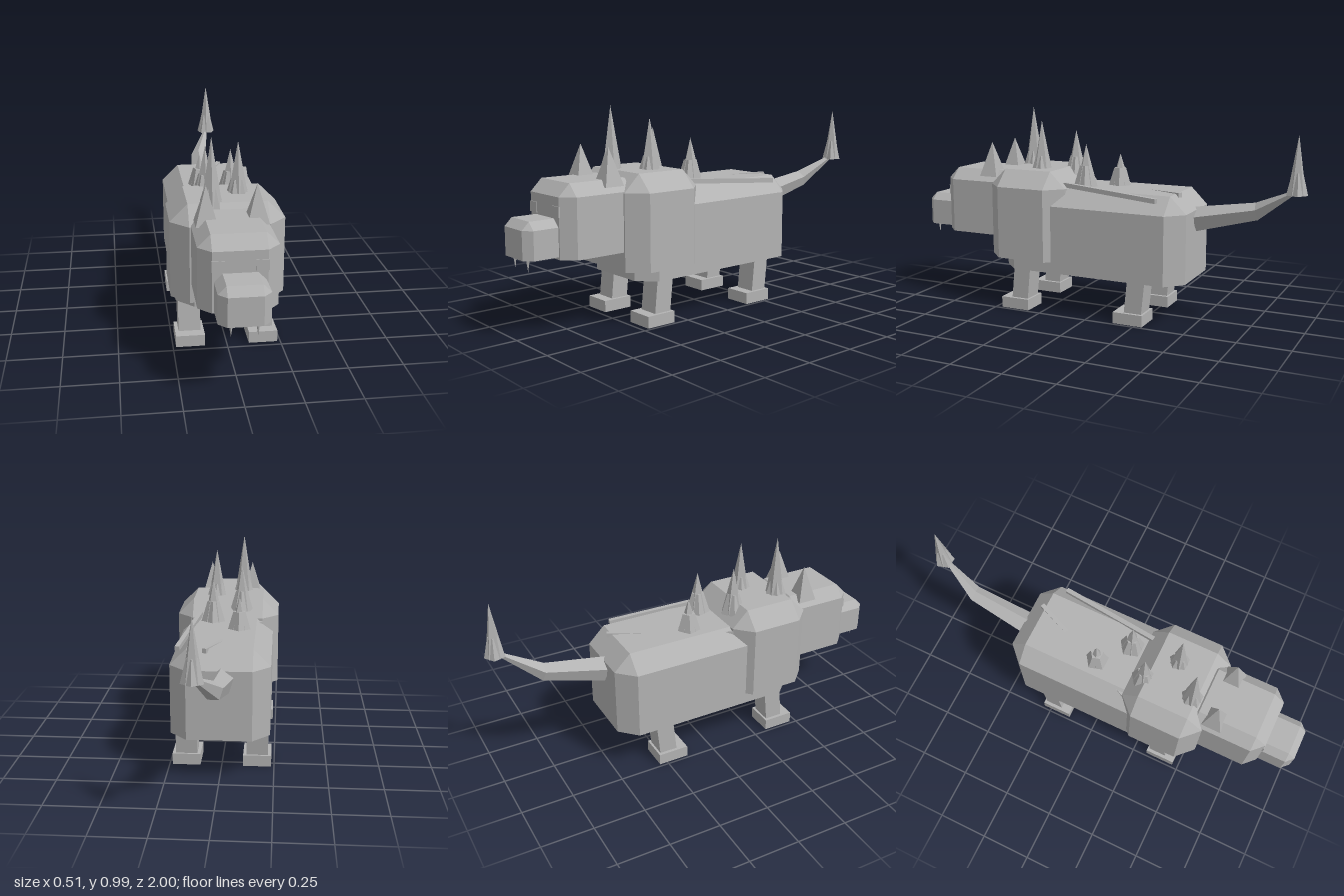
import * as THREE from 'three';

const stone = new THREE.MeshStandardMaterial({ color: 0xb2b2b2, flatShading: true, side: THREE.DoubleSide });
stone.name = 'stone grey';

function add(parent, name, geometry, x = 0, y = 0, z = 0) {
  const mesh = new THREE.Mesh(geometry, stone);
  mesh.name = name;
  mesh.position.set(x, y, z);
  parent.add(mesh);
  return mesh;
}

// Builds a flat-shaded geometry from points and faces of three or four corners
function faceted(points, faces) {
  const index = [];
  for (const [a, b, c, d] of faces) {
    index.push(a, b, c);
    if (d !== undefined) index.push(a, c, d);
  }
  const g = new THREE.BufferGeometry();
  g.setAttribute('position', new THREE.Float32BufferAttribute(points.flat(), 3));
  g.setIndex(index);
  const flat = g.toNonIndexed();
  flat.computeVertexNormals();
  return flat;
}

// Block with bevelled top and upright edges, open underneath
function bevelledBlock(w, y0, y1, z0, z1, b) {
  const ring = [
    [w - b, z1], [w, z1 - b], [w, z0 + b], [w - b, z0],
    [b - w, z0], [-w, z0 + b], [-w, z1 - b], [b - w, z1],
  ];
  const lid = [[w - b, z1 - b], [w - b, z0 + b], [b - w, z0 + b], [b - w, z1 - b]];
  const points = [
    ...ring.map(([x, z]) => [x, y0, z]),
    ...ring.map(([x, z]) => [x, y1 - b, z]),
    ...lid.map(([x, z]) => [x, y1, z]),
  ];
  const faces = [[16, 17, 18, 19]];
  for (let i = 0; i < 8; i++) {
    const j = (i + 1) % 8;
    faces.push([i, j, 8 + j, 8 + i]);
  }
  for (let k = 0; k < 4; k++) {
    const n = (k + 1) % 4;
    faces.push([8 + 2 * k, 9 + 2 * k, 16 + k]);
    faces.push([9 + 2 * k, 8 + 2 * n, 16 + n, 16 + k]);
  }
  return faceted(points, faces);
}

// Plain box with no bottom face
function openBox(w, h, d) {
  const g = new THREE.BoxGeometry(w, h, d);
  const index = Array.from(g.index.array);
  index.splice(18, 6);
  g.setIndex(index);
  g.clearGroups();
  return g;
}

// Tapered tube through [x, y, z, radius] sections
function taperedTube(sections, sides) {
  const points = [], faces = [];
  sections.forEach(([x, y, z, r], s) => {
    for (let i = 0; i < sides; i++) {
      const a = Math.PI / 2 + (i / sides) * Math.PI * 2;
      points.push([x + Math.cos(a) * r, y + Math.sin(a) * r, z - (Math.sin(a) - 1) * -r * 0.25]);
      if (!s) continue;
      const p = (s - 1) * sides, q = s * sides, j = (i + 1) % sides;
      faces.push([p + i, q + i, q + j, p + j]);
    }
  });
  return faceted(points, faces.map((f) => f.reverse()));
}

// Five-sided spike rising from a flared skirt
function spike(parent, name, x, y, z, height, radius) {
  const group = new THREE.Group();
  group.name = name;
  group.position.set(x, y, z);
  add(group, 'spikePoint', new THREE.ConeGeometry(radius * 0.85, height, 5), 0, height / 2, 0);
  const skirt = new THREE.CylinderGeometry(radius * 0.5, radius, 0.1, 5);
  add(group, 'spikeSkirt', skirt, 0, 0.05, 0).rotation.y = 0.6;
  parent.add(group);
}

// Square bar between two points
function bar(parent, name, from, to, size) {
  const a = new THREE.Vector3(...from), b = new THREE.Vector3(...to);
  const mesh = add(parent, name, new THREE.BoxGeometry(size, size, a.distanceTo(b)));
  mesh.position.copy(a).add(b).multiplyScalar(0.5);
  mesh.lookAt(b);
}

export function createModel() {
  const model = new THREE.Group();
  model.name = 'spikedBeast';

  // Trunk, shoulders, head and muzzle
  add(model, 'body', bevelledBlock(0.23, 0.205, 0.615, -0.47, 0.48, 0.08));
  add(model, 'shoulders', bevelledBlock(0.257, 0.26, 0.695, 0.14, 0.55, 0.08));
  add(model, 'head', bevelledBlock(0.17, 0.35, 0.675, 0.45, 0.845, 0.055));
  add(model, 'muzzle', bevelledBlock(0.108, 0.362, 0.525, 0.76, 1.0, 0.035));

  for (const s of [-1, 1]) {
    const side = s > 0 ? 'left' : 'right';
    // Face details
    add(model, side + 'Eye', new THREE.BoxGeometry(0.055, 0.047, 0.009), s * 0.091, 0.556, 0.844);
    const fang = new THREE.ConeGeometry(0.012, 0.075, 4).rotateX(Math.PI);
    add(model, side + 'Fang', fang, s * 0.055, 0.342, 0.965);
    const horn = new THREE.ConeGeometry(0.068, 0.17, 4).rotateY(Math.PI / 4);
    add(model, side + 'Horn', horn, s * 0.11, 0.73, 0.585);

    // Slanted legs with flat feet
    for (const [end, legZ, footZ] of [['Front', 0.375, 0.395], ['Hind', -0.235, -0.215]]) {
      const leg = new THREE.BoxGeometry(0.102, 0.3, 0.088);
      const p = leg.attributes.position;
      for (let i = 0; i < p.count; i++) p.setZ(i, p.getZ(i) - (p.getY(i) + 0.15) * 0.1);
      leg.computeVertexNormals();
      add(model, side + end + 'Leg', leg, s * 0.169, 0.202, legZ);
      add(model, side + end + 'Foot', openBox(0.134, 0.055, 0.15), s * 0.169, 0.0275, footZ);
    }
  }

  // Staggered row of back spikes, shrinking toward the rear
  const tips = [0.985, 0.93, 0.875, 0.825, 0.77];
  const bases = [0.66, 0.655, 0.645, 0.62, 0.6];
  tips.forEach((tip, i) => {
    spike(model, 'backSpike', i % 2 ? 0.065 : -0.07, bases[i], 0.445 - i * 0.122, tip - bases[i], 0.062);
  });

  // Ridges lying along the back
  bar(model, 'leftRidge', [0.2, 0.597, -0.34], [0.137, 0.63, 0.16], 0.022);
  bar(model, 'rightRidge', [-0.175, 0.59, 0.16], [0.07, 0.61, -0.41], 0.022);

  // Bent tail with a spike on its end
  add(model, 'tail', taperedTube([
    [-0.01, 0.485, -0.45, 0.06],
    [0, 0.548, -0.75, 0.042],
    [0.06, 0.655, -0.93, 0.011],
  ], 5));
  spike(model, 'tailSpike', 0.065, 0.65, -0.95, 0.265, 0.05);

  return model;
}
